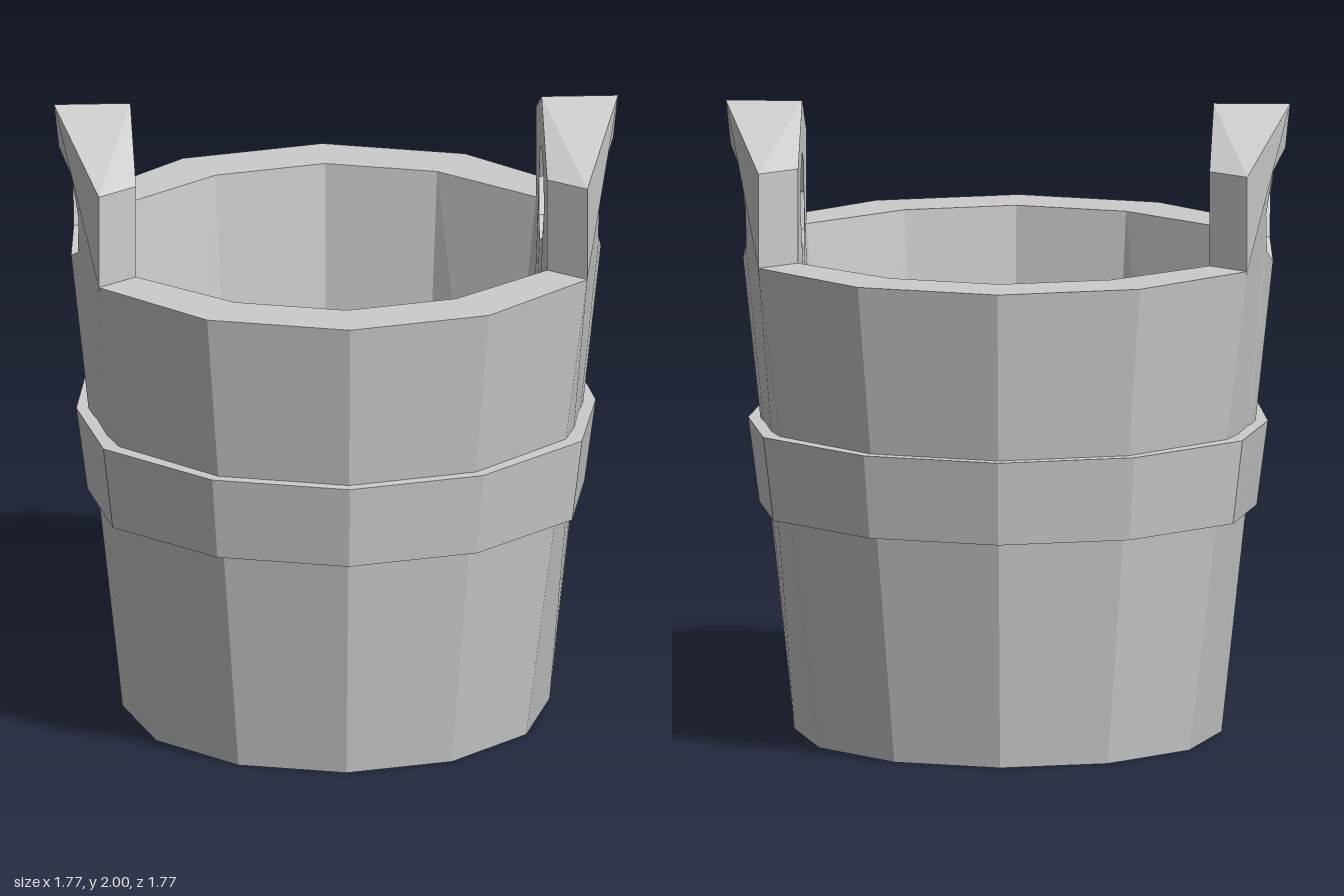
import * as THREE from 'three';

const RIM = 1.545, FLOOR = 0.12, HOLE_Y = 1.68;
const lerp = THREE.MathUtils.lerp;
const clamp01 = (t) => Math.min(Math.max(t, 0), 1);
const polar = (r, y, step) => [r * Math.cos(step * Math.PI / 6), y, r * Math.sin(step * Math.PI / 6)];

// Mirrors the triangles of one quarter (+x, +z) into all four quarters
function quarterMesh(name, tris, material) {
  const pos = [];
  for (const sx of [1, -1]) for (const sz of [1, -1]) {
    for (const [a, b, c] of tris) {
      const order = sx * sz > 0 ? [a, b, c] : [a, c, b];
      for (const p of order) pos.push(p[0] * sx, p[1], p[2] * sz);
    }
  }
  const geometry = new THREE.BufferGeometry();
  geometry.setAttribute('position', new THREE.Float32BufferAttribute(pos, 3));
  geometry.computeVertexNormals();
  const mesh = new THREE.Mesh(geometry, material);
  mesh.name = name;
  return mesh;
}

const quad = (tris, a, b, c, d) => tris.push([a, b, c], [a, c, d]);

// Skins a list of profiles, one per 30 degree step
function sweep(profiles) {
  const tris = [];
  for (let s = 0; s + 1 < profiles.length; s++) {
    const p = profiles[s], q = profiles[s + 1];
    for (let i = 0; i + 1 < p.length; i++) quad(tris, q[i], p[i], p[i + 1], q[i + 1]);
  }
  return tris;
}

// Half outline of the tall stave in (z, y), with half of the octagonal hole cut in
function staveOutline(bottomY, bottomZ, sideZ, holeR) {
  const pts = [[0, bottomY], [bottomZ, bottomY], [sideZ, RIM], [sideZ, 1.845], [0, 2]];
  for (let i = 0; i <= 4; i++) {
    const a = Math.PI / 2 - i * Math.PI / 4;
    pts.push([i % 4 ? holeR * Math.cos(a) : 0, HOLE_Y + holeR * Math.sin(a)]);
  }
  return pts;
}

function earTriangles() {
  const tris = [];
  const outline = staveOutline(0, 0.335, 0.4425, 0.18);
  const inline = staveOutline(FLOOR, 0.29, 0.3475, 0.155);
  // Outer face: two facets meeting on a leaning centre line
  const outer = outline.map(([z, y]) => {
    const r = lerp(0.67, 0.885, clamp01(y / RIM));
    return [lerp(0.67 + 0.1075 * y, r * Math.cos(Math.PI / 6), z / (r * 0.5)), y, z];
  });
  // Inner face: flat above the rim, tapering down to the floor
  const inner = inline.map(([z, y]) => {
    const t = clamp01((y - FLOOR) / (RIM - FLOOR));
    const centre = lerp(0.58, 0.645, clamp01((y - FLOOR) / (HOLE_Y - FLOOR)));
    return [lerp(centre, lerp(0.502, 0.645, t), z / lerp(0.29, 0.3475, t)), y, z];
  });
  const faces = (pts) => THREE.ShapeUtils.triangulateShape(pts.map(([z, y]) => new THREE.Vector2(z, y)), []);
  for (const [a, b, c] of faces(outline)) tris.push([outer[a], outer[c], outer[b]]);
  for (const [a, b, c] of faces(inline)) tris.push([inner[a], inner[b], inner[c]]);
  // Shoulder, sloping top and hole tunnel
  for (const i of [2, 3, 5, 6, 7, 8]) quad(tris, outer[i], outer[i + 1], inner[i + 1], inner[i]);
  return tris;
}

export function createModel() {
  const group = new THREE.Group();
  group.name = 'bucket';
  const material = new THREE.MeshStandardMaterial({ color: 0xcccccc, flatShading: true });

  // Wall between the two tall staves
  const wall = [1, 2, 3].map((s) => {
    const lip = polar(0.695, RIM, s);
    if (s === 1) lip[0] = 0.645;
    return [polar(0.67, 0, s), polar(0.885, RIM, s), lip, polar(0.58, FLOOR, s)];
  });
  group.add(quarterMesh('wall', sweep(wall), material));

  // Tall staves with the handle holes
  group.add(quarterMesh('handleStaves', earTriangles(), material));

  // Underside and inner floor
  const base = [], floor = [];
  for (let s = 0; s < 3; s++) {
    base.push([[0, 0, 0], polar(0.67, 0, s), polar(0.67, 0, s + 1)]);
    floor.push([[0, FLOOR, 0], polar(0.58, FLOOR, s + 1), polar(0.58, FLOOR, s)]);
  }
  group.add(quarterMesh('base', base, material), quarterMesh('floor', floor, material));

  // Hoop around the middle, slightly squeezed at the tall staves
  const hoop = [0, 1, 2, 3].map((s) => {
    const squeeze = s === 0 ? 0.035 : 0;
    const dy = s === 0 ? -0.012 : 0;
    const ring = (r, y) => polar(r - squeeze, y + dy, s);
    const p = [ring(0.75, 0.735), ring(0.815, 0.735), ring(0.85, 1.003), ring(0.79, 1.003)];
    if (s === 1) { p[1][0] += 0.015; p[2][0] += 0.015; }
    return p;
  });
  group.add(quarterMesh('hoop', sweep(hoop), material));

  return group;
}
